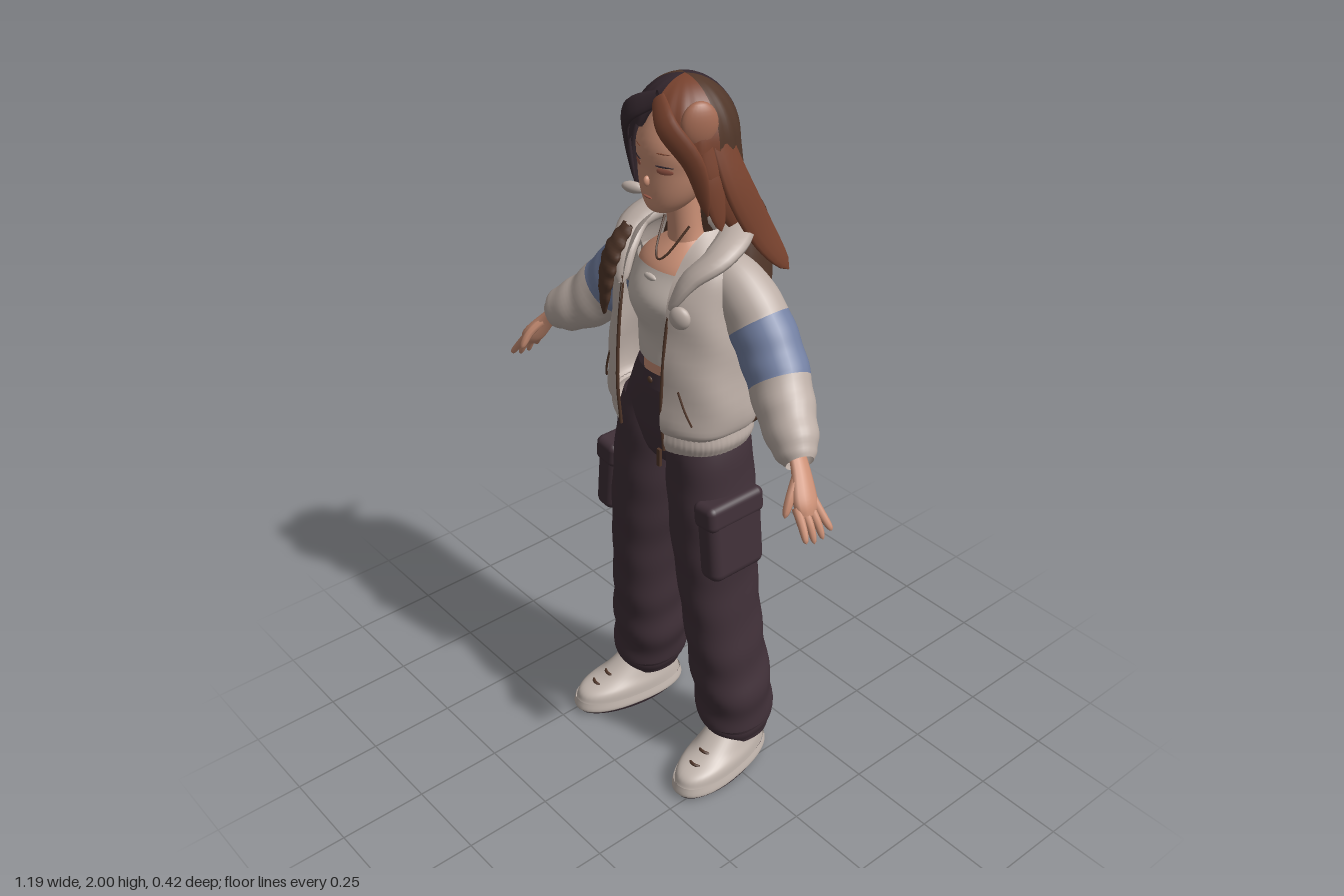
import * as THREE from 'three';
import { mergeVertices } from 'three/addons/utils/BufferGeometryUtils.js';
import { RoundedBoxGeometry } from 'three/addons/geometries/RoundedBoxGeometry.js';

const { sin, cos, PI } = Math;
const V = (p) => new THREE.Vector3(...p);
const spline = (pts) => new THREE.CatmullRomCurve3(pts.map(V), false, 'catmullrom');
const ball = new THREE.SphereGeometry(1, 20, 14);

function paint(name, color) {
  const m = new THREE.MeshStandardMaterial({ color, side: THREE.DoubleSide });
  m.name = name;
  return m;
}

// Smooth surface from a rule fn(u, v) -> [x, y, z]
function surface(nu, nv, fn) {
  const pos = [], idx = [];
  for (let j = 0; j <= nv; j++) for (let i = 0; i <= nu; i++) pos.push(...fn(i / nu, j / nv));
  for (let j = 0; j < nv; j++) for (let i = 0; i < nu; i++) {
    const a = j * (nu + 1) + i, c = a + nu + 1;
    idx.push(a, a + 1, c + 1, a, c + 1, c);
  }
  let g = new THREE.BufferGeometry();
  g.setAttribute('position', new THREE.Float32BufferAttribute(pos, 3));
  g.setIndex(idx);
  g = mergeVertices(g, 1e-5);
  g.computeVertexNormals();
  return g;
}

// Rising oval rings [y, z, rx, rz]; gap = half-width of a front opening, lean = x by height
function loft(rings, { p = 1, gap = 0, wrinkle = () => 0, lean = () => 0, nu = 40, nv = 32 } = {}) {
  const centre = spline(rings.map(([y, z]) => [0, y, z]));
  const size = spline(rings.map(([, , rx, rz]) => [rx, rz, 0]));
  const pw = (k) => Math.sign(k) * Math.abs(k) ** p;
  return surface(nu, nv, (u, v) => {
    const c = centre.getPoint(v), r = size.getPoint(v);
    const a0 = gap ? Math.asin(Math.min(0.97, (gap / r.x) ** (1 / p))) : 0;
    const a = a0 + u * 2 * (PI - a0), k = 1 + wrinkle(a, c.y);
    return [lean(c.y) + pw(sin(a)) * r.x * k, c.y, c.z + pw(cos(a)) * r.y * k];
  });
}

// Tube along points with radius(t); flat squashes it along the ref direction
function strand(points, radius, { flat = 1, ref = [0, 0, 1], t0 = 0, t1 = 1, nu = 12, nv = 16 } = {}) {
  const path = spline(points), R = V(ref);
  return surface(nu, nv, (u, v) => {
    const t = t0 + (t1 - t0) * v, a = u * 2 * PI;
    const c = path.getPoint(t), T = path.getTangent(t);
    const N = R.clone().addScaledVector(T, -R.dot(T)).normalize();
    const B = T.clone().cross(N), r = radius(t, a);
    return c.addScaledVector(N, cos(a) * r * flat).addScaledVector(B, sin(a) * r).toArray();
  });
}
// Radius rules: even cord, leaf-shaped lock, blunt fingertip
const cord = (r) => () => r;
const leaf = (r) => (t) => r * Math.sqrt(Math.max(0.002, sin(PI * (0.12 + 0.88 * t))));
const finger = (r) => (t) => r * (1 - 0.3 * t) * Math.sqrt(Math.max(0.002, 1 - t ** 8));

// Slice of the hair cap between two compass angles (0 = front, 90 = left side)
function hairCap(from, to) {
  return surface(Math.ceil((to - from) / 4), 18, (u, v) => {
    const deg = from + (to - from) * u, a = deg * PI / 180, s = 1 - v;
    const d = Math.abs(((deg + 535) % 360) - 180);
    const edge = (d < 90 ? 1.93 - 0.002 * d : 1.75 - 0.0006 * (d - 90)) + 0.012 * sin(a * 14);
    const y = 2 - (2 - edge) * s ** 1.7;
    const k = (y > 1.85 ? Math.sqrt(Math.max(0, 1 - ((y - 1.85) / 0.15) ** 2)) : 1 + 0.9 * (1.85 - y))
      * (1 + 0.02 * s * sin(a * 18));
    return [sin(a) * 0.135 * k, y, -0.015 + cos(a) * 0.126 * k];
  });
}

export function createModel() {
  const model = new THREE.Group();
  const cloth = paint('jacket beige', 0xbcaea6), blue = paint('sleeve blue', 0x7380a2);
  const plum = paint('trouser plum', 0x403038), brown = paint('dark brown', 0x503629);
  const skin = paint('skin', 0xcb9076), auburn = paint('auburn hair', 0x78422e);
  const shine = paint('hair highlight', 0xa66c55), dark = paint('dark hair', 0x35282f);
  const pale = paint('pale top and shoes', 0xc3b7af), blush = paint('eyes and lips', 0x9a5847);
  const add = (name, geo, mat, parent = model) => {
    const m = new THREE.Mesh(geo, mat);
    m.name = name;
    parent.add(m);
    return m;
  };
  const blob = (name, mat, pos, scale, turn = 0) => {
    const m = add(name, ball, mat);
    m.position.set(...pos); m.scale.set(...scale); m.rotation.y = turn;
  };

  // Head, neck and chest
  add('head', loft([[1.675, 0.055, 0.004, 0.004], [1.69, 0.046, 0.042, 0.044], [1.73, 0.028, 0.076, 0.072],
    [1.79, 0.008, 0.1, 0.092], [1.86, -0.005, 0.108, 0.1], [1.96, -0.01, 0.05, 0.05]]), skin);
  add('neck', loft([[1.56, -0.025, 0.055, 0.05], [1.62, -0.015, 0.042, 0.042], [1.75, 0, 0.042, 0.042]]), skin);
  add('torso', loft([[1.2, 0, 0.105, 0.082], [1.34, 0, 0.106, 0.082], [1.45, 0, 0.115, 0.09], [1.53, -0.01, 0.125, 0.09],
    [1.6, -0.02, 0.04, 0.035]]), skin);
  add('cropTop', loft([[1.275, 0, 0.12, 0.093], [1.36, 0, 0.121, 0.097], [1.45, 0.012, 0.13, 0.112],
    [1.535, -0.008, 0.13, 0.095]], { wrinkle: (a, y) => 0.008 * sin(y * 60 + 3 * a) }), pale);
  blob('topBow', pale, [0, 1.515, 0.095], [0.022, 0.009, 0.008]);
  add('necklace', strand([-2, -1, 0, 1, 2].map((i) => [i * 0.023, 1.555 + 0.021 * i * i, 0.07 - 0.015 * i * i]),
    cord(0.003), { nu: 6 }), brown);

  // Face
  blob('nose', skin, [0, 1.766, 0.102], [0.008, 0.013, 0.01]);
  blob('mouth', blush, [0, 1.726, 0.1], [0.016, 0.003, 0.004]);
  for (const s of [-1, 1]) {
    const x = s * 0.048, z = 0.086, turn = s * 0.5;
    blob('eye', blush, [x, 1.8, z], [0.022, 0.01, 0.004], turn);
    blob('eyelash', dark, [x, 1.811, z], [0.025, 0.003, 0.005], turn);
    blob('eyebrow', auburn, [x, 1.842, z], [0.022, 0.002, 0.004], turn);
  }

  // Hair cap in coloured slices
  add('hairCap', hairCap(-60, 5), dark);
  add('hairCap', hairCap(5, 85), auburn);
  add('hairCap', hairCap(85, 142), brown);
  add('hairCap', hairCap(142, 246), dark);
  add('hairCap', hairCap(246, 300), brown);
  blob('hairHighlight', shine, [0.103, 1.915, 0.03], [0.046, 0.056, 0.022], 1.2);

  // Loose locks, each flattened against the head
  const lock = (mat, r, ...pts) => {
    const [x, , z] = pts[1];
    add('hairLock', strand(pts, leaf(r), { flat: 0.35, ref: [x, 0, z + 0.015] }), mat);
  };
  for (const s of [-1, 1]) {
    const mat = s > 0 ? auburn : dark;
    lock(mat, 0.03, [0.01, 1.965, 0.075], [s * 0.07, 1.915, 0.098], [s * 0.122, 1.83, 0.062], [s * 0.135, 1.7, 0.03]);
    lock(mat, 0.03, [s * 0.11, 1.87, 0.03], [s * 0.135, 1.78, 0.02], [s * 0.15, 1.66, 0]);
  }
  lock(auburn, 0.048, [0.1, 1.93, -0.01], [0.14, 1.77, -0.05], [0.15, 1.62, -0.13], [0.172, 1.505, -0.205]);
  lock(auburn, 0.033, [0.125, 1.86, 0.03], [0.135, 1.75, -0.01], [0.11, 1.62, -0.09]);
  lock(dark, 0.036, [-0.1, 1.9, 0], [-0.15, 1.79, -0.05], [-0.21, 1.69, -0.12]);
  lock(auburn, 0.034, [-0.11, 1.9, 0.04], [-0.15, 1.78, -0.01], [-0.24, 1.67, -0.16]);
  lock(brown, 0.028, [-0.125, 1.83, 0.03], [-0.145, 1.74, 0.01], [-0.2, 1.65, -0.05]);
  blob('hairTie', cloth, [-0.135, 1.687, 0.035], [0.032, 0.015, 0.014], 0.4);

  // Open jacket, ribbed hem, hood and zip
  add('jacketBody', loft([[1.115, -0.005, 0.2, 0.142], [1.16, -0.003, 0.219, 0.15], [1.36, -0.005, 0.203, 0.14],
    [1.5, -0.015, 0.187, 0.135], [1.58, -0.028, 0.155, 0.108], [1.635, -0.04, 0.095, 0.075]],
  { p: 0.85, gap: 0.086, nu: 56, wrinkle: (a, y) => 0.012 * sin(y * 38 + 4 * a) + 0.006 * sin(7 * a) }), cloth);
  add('jacketHem', loft([[1.068, -0.008, 0.195, 0.142], [1.095, -0.008, 0.206, 0.149], [1.125, -0.005, 0.202, 0.144]],
    { p: 0.85, gap: 0.086, nu: 160, nv: 8, wrinkle: (a) => 0.006 * sin(70 * a) }), cloth);
  const hoodSide = (s) => [[s * 0.092, 1.47, 0.113], [s * 0.122, 1.545, 0.075], [s * 0.152, 1.595, 0.01], [s * 0.115, 1.625, -0.075]];
  add('hood', strand([...hoodSide(1), [0, 1.635, -0.115], ...hoodSide(-1).reverse()],
    (t) => 0.008 + 0.042 * Math.sqrt(sin(PI * t)), { nv: 48, flat: 0.55, ref: [0, 1, 0.3] }), cloth);
  for (const s of [-1, 1]) {
    add('zipEdge', strand([[s * 0.086, 1.07, 0.128], [s * 0.087, 1.2, 0.136], [s * 0.088, 1.36, 0.126], [s * 0.09, 1.49, 0.108]],
      cord(0.0045), { nu: 8 }), brown);
    add('jacketPocketSeam', strand([[s * 0.17, 1.17, 0.107], [s * 0.155, 1.21, 0.117], [s * 0.135, 1.26, 0.122]],
      cord(0.003), { nu: 6 }), brown);
  }
  add('zipPull', new THREE.BoxGeometry(0.012, 0.05, 0.008), brown).position.set(0.092, 1.06, 0.148);
  blob('badge', cloth, [0.13, 1.46, 0.112], [0.028, 0.03, 0.016], 0.4);

  // Back bag, wide at the bottom, with a single front strap
  add('bag', loft([[1.115, -0.085, 0.16, 0.05], [1.135, -0.085, 0.2, 0.075], [1.3, -0.095, 0.194, 0.082], [1.48, -0.115, 0.172, 0.089],
    [1.6, -0.13, 0.152, 0.074], [1.68, -0.135, 0.12, 0.05], [1.702, -0.135, 0.002, 0.002]],
  { p: 0.75, wrinkle: (a, y) => 0.008 * sin(y * 30 + 5 * a) }), brown);
  add('bagStrap', strand([[-0.125, 1.6, 0.06], [-0.135, 1.54, 0.102], [-0.145, 1.46, 0.12], [-0.155, 1.36, 0.122]],
    (t, a) => leaf(0.037)(t) * (1 + 0.08 * sin(t * 42 + 2 * sin(a))), { flat: 0.45, ref: [-0.3, 0.3, 1], nv: 40 }), brown);

  // Sleeves: one path cut into colour bands, with crumpled puffs
  for (const s of [-1, 1]) {
    const m = (...pts) => pts.map(([x, y, z]) => [s * x, y, z]);
    const arm = m([0.11, 1.54, -0.035], [0.18, 1.49, -0.048], [0.245, 1.42, -0.05], [0.31, 1.345, -0.038],
      [0.38, 1.272, -0.008], [0.45, 1.225, 0.028], [0.487, 1.198, 0.046]);
    const girth = (t, a) => (0.088 - 0.023 * (1 - t) ** 6 - 0.05 * t ** 4) * (1 + 0.035 * t * sin(t * 42 + 2 * sin(a)));
    const sleeve = (name, t0, t1, mat) => add(name, strand(arm, girth, { t0, t1, nu: 28, nv: 20, flat: 0.9 }), mat);
    sleeve('upperSleeve', 0, 0.3, cloth);
    sleeve('sleeveBand', 0.3, 0.555, blue);
    sleeve('lowerSleeve', 0.555, 1, cloth);

    // Hand
    add('palm', strand(m([0.455, 1.235, 0.035], [0.5, 1.183, 0.053], [0.535, 1.135, 0.072], [0.555, 1.1, 0.08]),
      (t) => 0.026 + 0.012 * sin(PI * t * t), { flat: 0.55, ref: [-s * 0.8, -0.55, 0.2] }), skin);
    for (let i = 0; i < 4; i++) {
      const z0 = 0.05 + 0.018 * i, z1 = 0.035 + 0.028 * i, y = 1.037 + 0.013 * Math.abs(i - 1.5);
      add('finger', strand(m([0.54, 1.125, z0], [0.572, 1.085, (z0 + z1) / 2], [0.593, y, z1]), finger(0.012), { nu: 8 }), skin);
    }
    add('thumb', strand(m([0.505, 1.18, 0.07], [0.52, 1.145, 0.105], [0.528, 1.1, 0.13]), finger(0.014), { nu: 8 }), skin);
  }

  // Trousers
  add('hips', loft([[0.955, -0.015, 0.04, 0.06], [1.0, -0.015, 0.13, 0.098], [1.08, -0.015, 0.19, 0.114],
    [1.18, -0.005, 0.15, 0.105], [1.245, 0, 0.118, 0.093]], { p: 0.9 }), plum);
  add('waistband', loft([[1.208, 0, 0.14, 0.103], [1.25, 0, 0.12, 0.097]], { nv: 4 }), plum);
  blob('waistButton', brown, [0, 1.228, 0.1], [0.009, 0.009, 0.005]);
  const crease = (a, y) => (y < 0.5 ? 0.014 + 0.12 * (0.5 - y) : 0.014) * sin(y * 42 + 2.2 * sin(a) + 1.5 * cos(a));
  for (const s of [-1, 1]) {
    const lean = (y) => s * (0.207 - 0.104 * y);
    add('trouserLeg', loft([[0.105, -0.05, 0.07, 0.08], [0.16, -0.045, 0.09, 0.102], [0.25, -0.042, 0.104, 0.108],
      [0.4, -0.028, 0.096, 0.11], [0.6, -0.015, 0.09, 0.114], [0.8, -0.01, 0.103, 0.117], [1.02, -0.013, 0.1, 0.116], [1.13, -0.01, 0.085, 0.1]],
    { p: 0.88, wrinkle: crease, lean, nv: 70 }), plum);
    add('trouserHem', loft([[0.105, -0.05, 0.075, 0.085], [0.16, -0.045, 0.094, 0.105]], { p: 0.88, lean, nv: 6 }), plum);
    const pocket = add('cargoPocket', new RoundedBoxGeometry(0.075, 0.22, 0.18, 4, 0.028), plum);
    pocket.position.set(s * 0.212, 0.82, 0.008);
    pocket.rotation.z = s * 0.1;
    const flap = add('pocketFlap', new RoundedBoxGeometry(0.08, 0.075, 0.188, 4, 0.02), plum, pocket);
    flap.position.y = 0.085;

    // Shoes
    const shoe = new THREE.Group();
    shoe.name = 'shoe';
    shoe.position.set(s * 0.207, 0, 0.02);
    shoe.rotation.y = s * 0.16;
    model.add(shoe);
    add('midsole', loft([[0.01, 0.01, 0.074, 0.172], [0.02, 0.01, 0.081, 0.18], [0.045, 0.01, 0.077, 0.175]], { p: 0.88, nv: 8 }), pale, shoe);
    add('shoeUpper', loft([[0.04, 0.01, 0.075, 0.173], [0.07, 0.004, 0.073, 0.16], [0.1, -0.03, 0.064, 0.118],
      [0.16, -0.07, 0.05, 0.068]], { p: 0.9 }), pale, shoe);
    const sole = add('outsole', new THREE.CylinderGeometry(1, 0.97, 0.014, 40), dark, shoe);
    sole.position.set(0, 0.007, 0.01);
    sole.scale.set(0.074, 1, 0.172);
    for (let i = 0; i < 3; i++) {
      const y = 0.086 + i * 0.018, z = 0.125 - i * 0.042;
      add('lace', strand([-1, 0, 1].map((k) => [k * 0.035, y - 0.012 * k * k, z - 0.02 * k * k]), cord(0.005), { nu: 6 }), brown, shoe);
    }
  }
  return model;
}
